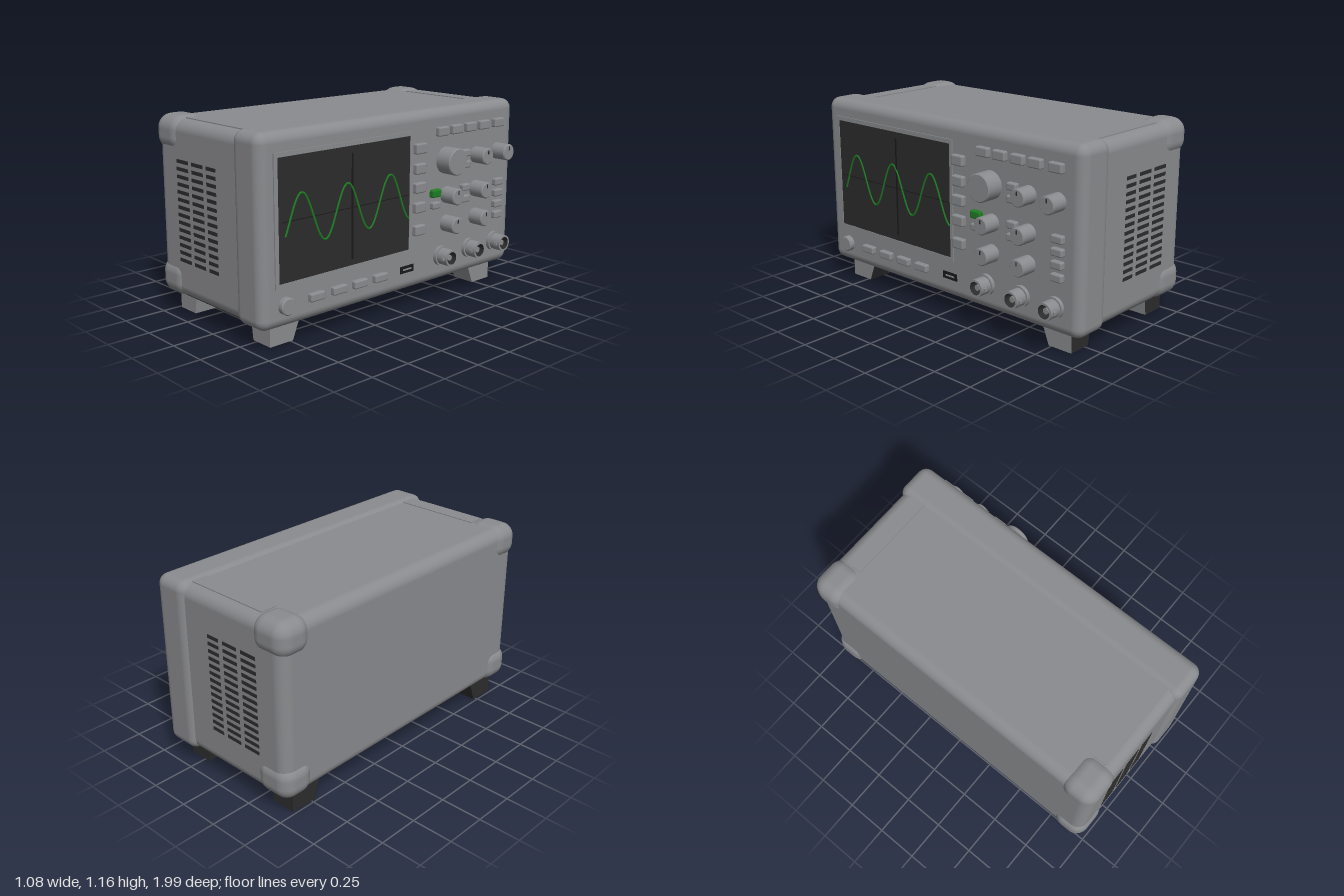
import * as THREE from 'three';
import { RoundedBoxGeometry } from 'three/addons/geometries/RoundedBoxGeometry.js';

const mat = (name, color) => {
  const m = new THREE.MeshStandardMaterial({ color });
  m.name = name;
  return m;
};

export function createModel() {
  const grey = mat('caseGrey', 0x8a8b8e);
  const dark = mat('screenDark', 0x2c2c2c);
  const black = mat('lineBlack', 0x191919);
  const green = mat('traceGreen', 0x1f7d24);
  const model = new THREE.Group();
  const FACE = 0.438; // x of the control panel surface

  const add = (name, geo, material, parent = model) => {
    const mesh = new THREE.Mesh(geo, material);
    mesh.name = name;
    parent.add(mesh);
    return mesh;
  };
  const group = (name) => {
    const g = new THREE.Group();
    g.name = name;
    model.add(g);
    return g;
  };
  // Boxes given by their limits along each axis
  const rounded = (name, x0, x1, y0, y1, z0, z1, r, material, parent, seg = 5) =>
    add(name, new RoundedBoxGeometry(x1 - x0, y1 - y0, z1 - z0, seg, r), material, parent)
      .position.set((x0 + x1) / 2, (y0 + y1) / 2, (z0 + z1) / 2);
  const box = (name, x0, x1, y0, y1, z0, z1, material, parent) =>
    add(name, new THREE.BoxGeometry(x1 - x0, y1 - y0, z1 - z0), material, parent)
      .position.set((x0 + x1) / 2, (y0 + y1) / 2, (z0 + z1) / 2);

  // Case, front bezel and dark underside
  rounded('mainCase', -0.525, 0.4, 0.12, 1.145, -0.975, 0.975, 0.07, grey);
  rounded('frontBezel', 0.2, FACE, 0.115, 1.16, -0.995, 0.995, 0.06, grey);
  box('underside', -0.46, 0.37, 0.112, 0.12, -0.92, 0.92, dark);

  // Raised strips along the top edges
  for (const s of [-1, 1]) {
    const z = [0.81 * s, 0.91 * s].sort((a, b) => a - b);
    box('topRail', -0.32, 0.23, 1.14, 1.15, z[0], z[1], grey);
  }

  // Rear corner bumpers
  const bumpers = group('cornerBumpers');
  for (const s of [-1, 1]) {
    const z = [0.77 * s, 0.988 * s].sort((a, b) => a - b);
    rounded('upperBumper', -0.543, -0.295, 0.955, 1.16, z[0], z[1], 0.08, grey, bumpers);
    rounded('lowerBumper', -0.543, -0.295, 0.115, 0.325, z[0], z[1], 0.08, grey, bumpers);
  }

  // Vent slots on both sides
  const vents = group('sideVents');
  const columns = [[-0.33, -0.22], [-0.185, -0.08], [-0.045, 0.04]];
  for (const s of [-1, 1]) {
    for (const [x0, x1] of columns) {
      for (let i = 0; i < 14; i++) {
        const y = 0.915 - i * 0.0436;
        box('ventSlot', x0, x1, y - 0.01, y + 0.01, s * 0.9755 - 0.003, s * 0.9755 + 0.003, dark, vents);
      }
    }
  }

  // Tapered feet, sloping on their inner sides
  const feet = group('feet');
  for (const sz of [-1, 1]) {
    for (const sx of [-1, 1]) {
      const g = new THREE.BoxGeometry(0.165, 0.14, 0.21);
      const p = g.attributes.position;
      for (let i = 0; i < p.count; i++) {
        if (p.getY(i) > 0) continue;
        if (p.getX(i) * sx < 0) p.setX(i, p.getX(i) + sx * 0.018);
        if (p.getZ(i) * sz < 0) p.setZ(i, p.getZ(i) + sz * 0.055);
      }
      g.computeVertexNormals();
      add('foot', g, [grey, dark, grey, dark, grey, dark], feet)
        .position.set(sx < 0 ? -0.4 : 0.283, 0.07, sz * 0.783);
    }
  }

  // Screen with a low rim around it
  const screen = group('screen');
  const rim = new THREE.Shape();
  rim.moveTo(-0.905, 0.34).lineTo(0.09, 0.34).lineTo(0.09, 1.055).lineTo(-0.905, 1.055).closePath();
  const hole = new THREE.Path();
  hole.moveTo(-0.88, 0.365).lineTo(-0.88, 1.03).lineTo(0.07, 1.03).lineTo(0.07, 0.365).closePath();
  rim.holes.push(hole);
  const rimGeo = new THREE.ExtrudeGeometry(rim, { depth: 0.012, bevelEnabled: false });
  rimGeo.rotateY(Math.PI / 2);
  add('screenRim', rimGeo, grey, screen).position.x = FACE - 0.005;
  box('display', FACE - 0.004, FACE + 0.004, 0.365, 1.03, -0.07, 0.88, dark, screen);
  box('verticalAxis', FACE, FACE + 0.006, 0.4, 0.99, 0.365, 0.376, black, screen);
  box('horizontalAxis', FACE, FACE + 0.006, 0.688, 0.692, -0.06, 0.86, black, screen);

  // Sine trace
  const points = [];
  for (let i = 0; i <= 60; i++) {
    const z = 0.835 - (i / 60) * 0.9;
    points.push(new THREE.Vector3(FACE + 0.004, 0.69 + 0.14 * Math.cos((2 * Math.PI * (z - 0.725)) / 0.32), z));
  }
  add('sineTrace', new THREE.TubeGeometry(new THREE.CatmullRomCurve3(points), 180, 0.0065, 6), green, screen);

  // Push buttons: [z, y, width, height]
  const buttons = group('buttons');
  const button = (z, y, w, h, material = grey, name = 'button') =>
    rounded(name, FACE - 0.02, 0.468, y - h / 2, y + h / 2, z - w / 2, z + w / 2, 0.009, material, buttons, 2);
  for (const z of [0.635, 0.475, 0.32, 0.165]) button(z, 0.25, 0.1, 0.046);
  for (const y of [0.95, 0.833, 0.722, 0.605, 0.47]) button(-0.145, y, 0.085, 0.06);
  for (const z of [-0.33, -0.45, -0.575, -0.695, -0.83]) button(z, 1.028, 0.088, 0.054);
  for (const y of [0.875, 0.805, 0.665, 0.595]) button(-0.54, y, 0.066, 0.042);
  for (const y of [0.655, 0.585, 0.515, 0.445]) button(-0.848, y, 0.076, 0.044);
  button(-0.28, 0.595, 0.066, 0.04);
  button(-0.28, 0.667, 0.072, 0.046, green, 'greenButton');

  // Turned parts whose axis points out of the panel; profile is [radius, distance]
  const turned = (name, profile, y, z, parent, material = grey) => {
    const pts = profile.map(([r, d]) => new THREE.Vector2(r, d));
    const g = new THREE.LatheGeometry(pts, 28);
    g.rotateZ(-Math.PI / 2);
    add(name, g, material, parent).position.set(FACE, y, z);
  };

  // Rotary knobs; repeated profile points keep the edges crisp
  const knobs = group('knobs');
  const knob = (name, y, z, r, d) =>
    turned(name, [[r, -0.01], [r, d - 0.006], [r, d - 0.006], [r - 0.006, d], [r - 0.006, d], [0, d]], y, z, knobs);
  knob('largeKnob', 0.852, -0.375, 0.08, 0.102);
  const small = [[0.85, -0.645], [0.85, -0.84], [0.642, -0.387], [0.642, -0.645], [0.468, -0.387], [0.468, -0.645]];
  for (const [y, z] of small) {
    knob('smallKnob', y, z, 0.05, 0.1);
    box('knobMark', 0.536, 0.54, y + 0.014, y + 0.036, z - 0.004, z + 0.004, dark, knobs);
  }
  knob('powerButton', 0.243, 0.838, 0.048, 0.034);

  // Hollow signal sockets with a centre pin and two side lugs
  const sockets = group('signalSockets');
  for (const z of [-0.345, -0.598, -0.83]) {
    const y = 0.275;
    turned('socketCollar', [[0.06, -0.01], [0.06, 0.022], [0.06, 0.022], [0.04, 0.022]], y, z, sockets);
    turned('socketSleeve', [[0.05, 0], [0.05, 0.096], [0.05, 0.096], [0.038, 0.096]], y, z, sockets);
    turned('socketBore', [[0.038, 0.096], [0.038, 0.03], [0.038, 0.03], [0, 0.03]], y, z, sockets, dark);
    turned('socketPin', [[0.017, 0.02], [0.017, 0.08], [0.017, 0.08], [0, 0.08]], y, z, sockets);
    for (const s of [-1, 1])
      box('socketLug', 0.5, 0.518, y - 0.008, y + 0.008, z + s * 0.05 - 0.01, z + s * 0.05 + 0.01, grey, sockets);
  }

  // Data port
  box('dataPort', FACE - 0.004, FACE + 0.004, 0.228, 0.27, -0.115, -0.005, black);
  box('dataPortTongue', FACE, FACE + 0.006, 0.244, 0.254, -0.095, -0.025, grey);

  return model;
}
